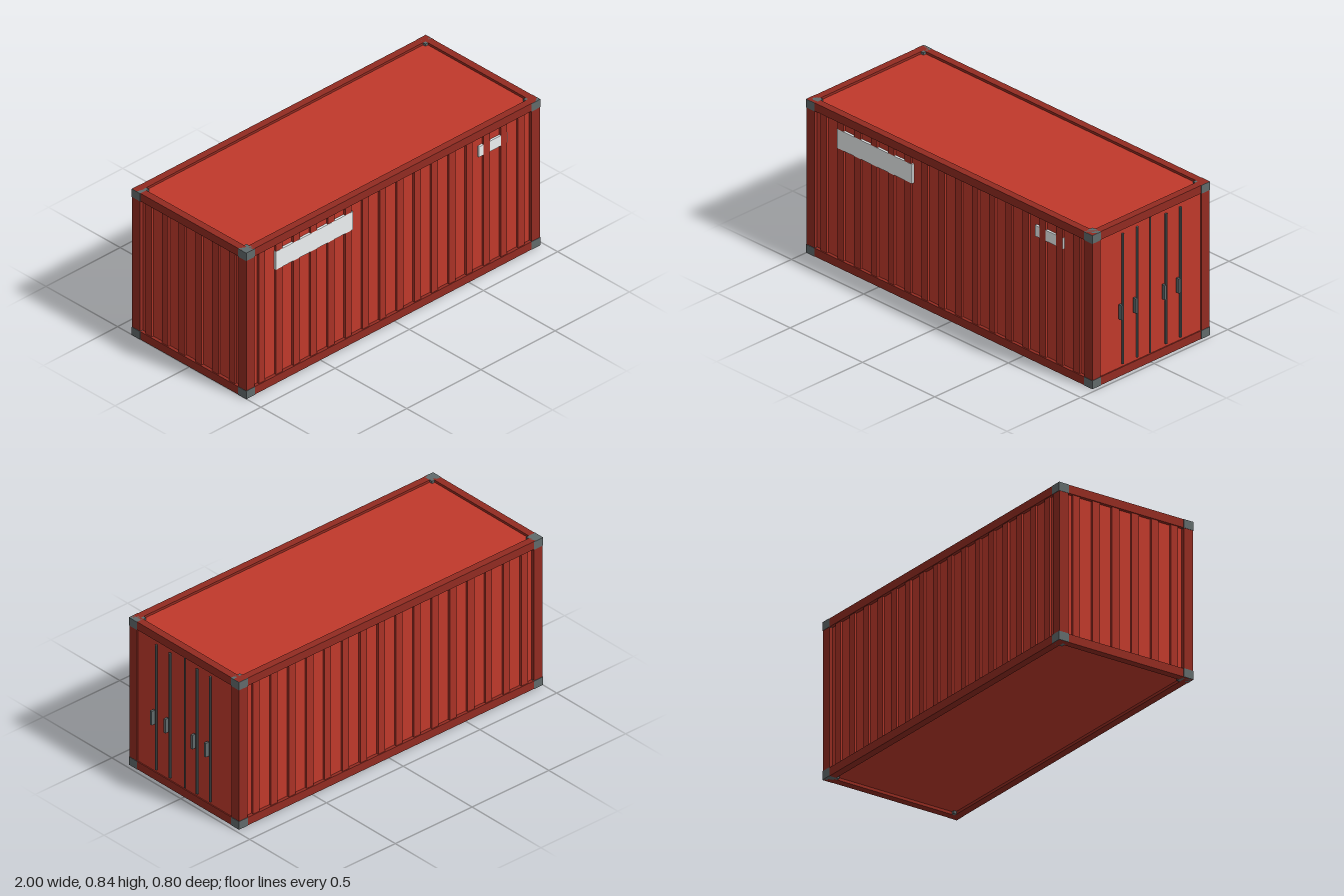
import * as THREE from 'three';

const mat = (color) => new THREE.MeshStandardMaterial({ color, flatShading: true });

export function createModel() {
  const group = new THREE.Group();
  const panel = mat(0xc0392b), rib = mat(0xa93226), frame = mat(0x922b21);
  const steel = mat(0x616a6b), dark = mat(0x333a3b), white = mat(0xecf0f1);

  // Box given by its min and max corners
  function box(name, material, [x0, y0, z0], [x1, y1, z1]) {
    const mesh = new THREE.Mesh(new THREE.BoxGeometry(x1 - x0, y1 - y0, z1 - z0), material);
    mesh.position.set((x0 + x1) / 2, (y0 + y1) / 2, (z0 + z1) / 2);
    mesh.name = name;
    group.add(mesh);
    return mesh;
  }

  const X0 = -1, X1 = 0.978, H = 0.843, Z = 0.398;
  const rail = 0.045, lip = 0.04, post = 0.055;
  const wallZ = 0.38, ribZ = 0.392;

  // Inner shell: walls, doors, roof and floor, set back from the frame
  box('body', panel, [X0 + 0.018, 0.015, -wallZ], [X1 - 0.006, 0.83, wallZ]);

  // Rails along the top and bottom edges
  for (const y of [0, H - rail]) {
    for (const s of [-1, 1]) {
      const zs = [s * Z, s * (Z - lip)].sort((a, b) => a - b);
      box('sideRail', frame, [X0, y, zs[0]], [X1, y + rail, zs[1]]);
    }
    box('endRail', frame, [X0, y, lip - Z], [X0 + lip, y + rail, Z - lip]);
    box('doorRail', frame, [X1 - lip, y, lip - Z], [X1, y + rail, Z - lip]);
  }

  // Corner posts with a steel casting at each end
  for (const x of [X0, X1 - post]) {
    for (const z of [-Z, Z - post]) {
      box('cornerPost', frame, [x, 0.01, z], [x + post, H - 0.01, z + post]);
      for (const y of [0.001, H - rail]) {
        box('cornerCasting', steel, [x - 0.002, y - 0.001, z - 0.002],
          [x + post + 0.002, y + rail, z + post + 0.002]);
      }
    }
  }

  // Corrugation ribs on both long sides
  const pitch = 0.1165, half = 0.0215, yLow = 0.043, yHigh = 0.8;
  for (let i = 0; i < 16; i++) {
    const x = -0.888 + i * pitch;
    box('sideRib', rib, [x - half, yLow, wallZ - 0.005], [x + half, yHigh, ribZ]);
    box('sideRib', rib, [x - half, yLow, -ribZ], [x + half, yHigh, 0.005 - wallZ]);
  }

  // Corrugation ribs on the closed end
  for (let i = 0; i < 6; i++) {
    const z = (i - 2.5) * pitch;
    box('endRib', rib, [X0 + 0.006, yLow, z - half], [X0 + 0.025, yHigh, z + half]);
  }

  // Blank label plates on the front side
  box('largeLabel', white, [-0.795, 0.65, wallZ], [-0.275, 0.755, ribZ + 0.0005]);
  box('smallLabel', white, [0.575, 0.685, wallZ], [0.767, 0.745, ribZ - 0.0005]);

  // Door gap, locking rods and handles
  box('doorGap', dark, [X1 - 0.01, 0.05, -0.0035], [X1 - 0.003, 0.795, 0.0035]);
  for (const z of [-0.195, -0.098, 0.098, 0.197]) {
    const rod = new THREE.Mesh(new THREE.CylinderGeometry(0.007, 0.007, 0.713, 8), steel);
    rod.name = 'lockingRod';
    rod.position.set(0.983, 0.424, z);
    group.add(rod);
    box('rodHandle', steel, [0.98, 0.32, z + 0.014], [1, 0.4, z + 0.026]);
  }
  return group;
}
